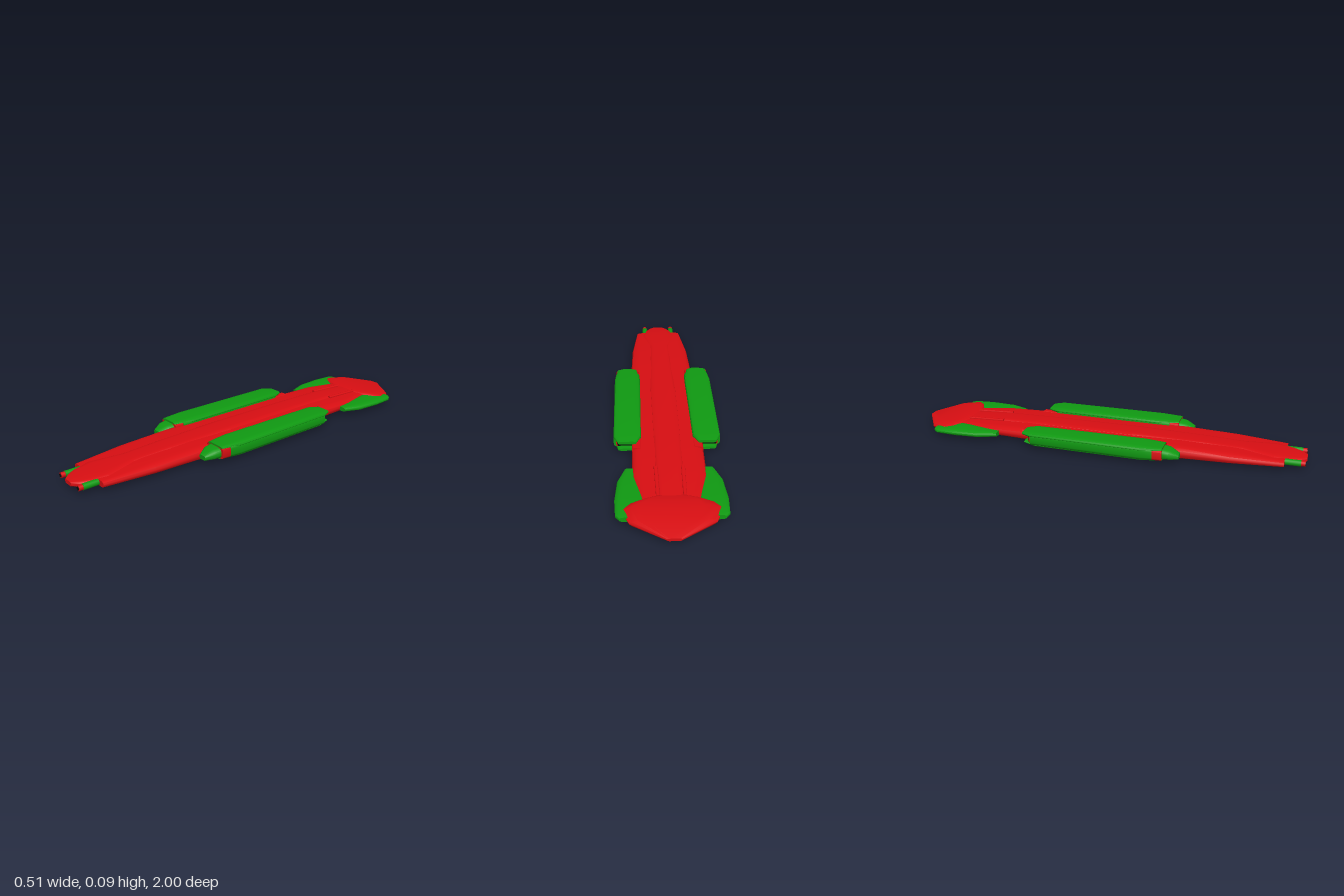
import * as THREE from 'three';
import { toCreasedNormals } from 'three/addons/utils/BufferGeometryUtils.js';

const red = new THREE.MeshStandardMaterial({ color: 0xd80e12 });
const green = new THREE.MeshStandardMaterial({ color: 0x109a12 });
const black = new THREE.MeshStandardMaterial({ color: 0x0a0a0a });

// Lofts rounded-rectangle sections [z, xMin, xMax, yMin, yMax, cornerX, cornerY], listed from back to front.
function loft(sections) {
  const steps = 3, n = 4 * (steps + 1), pos = [], idx = [];
  for (const [z, x0, x1, y0, y1, cx, cy] of sections) {
    const rx = Math.min(cx, (x1 - x0) * 0.49), ry = Math.min(cy, (y1 - y0) * 0.49);
    const corners = [[x1 - rx, y1 - ry], [x0 + rx, y1 - ry], [x0 + rx, y0 + ry], [x1 - rx, y0 + ry]];
    corners.forEach(([px, py], q) => {
      for (let k = 0; k <= steps; k++) {
        const a = (q + k / steps) * Math.PI / 2;
        pos.push(px + rx * Math.cos(a), py + ry * Math.sin(a), z);
      }
    });
  }
  const last = (sections.length - 1) * n;
  for (let i = 0; i < last; i += n) {
    for (let j = 0; j < n; j++) {
      const a = i + j, b = i + (j + 1) % n;
      idx.push(a, b, b + n, a, b + n, a + n);
    }
  }
  for (let j = 1; j < n - 1; j++) idx.push(0, j + 1, j, last, last + j, last + j + 1);
  const g = new THREE.BufferGeometry();
  g.setAttribute('position', new THREE.Float32BufferAttribute(pos, 3));
  g.setIndex(idx);
  return toCreasedNormals(g, 0.6);
}

// Symmetric section rows: [z, halfWidth, yMin, yMax, cornerX, cornerY]
const centred = rows => loft(rows.map(([z, w, ...rest]) => [z, -w, w, ...rest]));

function add(parent, name, geometry, material) {
  const mesh = new THREE.Mesh(geometry, material);
  mesh.name = name;
  parent.add(mesh);
  return mesh;
}

// Mirrors section rows for the right-hand (-x) side
const sided = (rows, s) => loft(rows.map(([z, a, b, ...rest]) => s > 0 ? [z, a, b, ...rest] : [z, -b, -a, ...rest]));

function buildPod(s) {
  const pod = new THREE.Group();
  pod.name = s > 0 ? 'leftPod' : 'rightPod';
  const part = (name, rows, mat) => add(pod, name, sided(rows, s), mat);
  // Red core, showing at the front
  part('podCore', [
    [-0.33, 0.135, 0.24, 0.035, 0.08, 0.01, 0.01],
    [0.27, 0.125, 0.249, 0.03, 0.085, 0.01, 0.01],
    [0.345, 0.128, 0.247, 0.031, 0.083, 0.01, 0.01],
  ], red);
  // Shell wrapped round the core
  part('podShell', [
    [-0.32, 0.123, 0.252, 0.028, 0.09, 0.02, 0.016],
    [0.24, 0.12, 0.255, 0.026, 0.09, 0.02, 0.016],
    [0.3, 0.122, 0.251, 0.028, 0.089, 0.02, 0.016],
  ], green);
  // Overhanging roof
  part('podRoof', [
    [-0.37, 0.145, 0.23, 0.072, 0.087, 0.02, 0.006],
    [-0.32, 0.123, 0.252, 0.066, 0.093, 0.03, 0.012],
    [0.24, 0.12, 0.255, 0.066, 0.093, 0.03, 0.012],
    [0.345, 0.138, 0.24, 0.076, 0.09, 0.02, 0.006],
  ], green);
  // Keel plate, leaving an open gap at the rear
  part('podKeel', [
    [-0.36, 0.145, 0.23, 0.03, 0.042, 0.02, 0.005],
    [-0.3, 0.13, 0.246, 0.02, 0.044, 0.03, 0.012],
    [0.24, 0.13, 0.246, 0.018, 0.044, 0.03, 0.012],
    [0.345, 0.14, 0.238, 0.024, 0.045, 0.03, 0.01],
  ], green);
  part('podExhaust', [
    [-0.335, 0.14, 0.235, 0.042, 0.072, 0.005, 0.005],
    [-0.325, 0.14, 0.235, 0.042, 0.072, 0.005, 0.005],
  ], black);
  part('podNose', [
    [0.33, 0.138, 0.238, 0.03, 0.083, 0.025, 0.02],
    [0.375, 0.142, 0.234, 0.031, 0.077, 0.025, 0.018],
    [0.42, 0.168, 0.21, 0.033, 0.055, 0.006, 0.006],
  ], green);
  return pod;
}

function buildGun(s) {
  const gun = new THREE.Group();
  gun.name = s > 0 ? 'leftGun' : 'rightGun';
  gun.position.set(s * 0.08, 0.036, 0);
  const tube = (name, r, z0, z1, mat) => {
    const g = new THREE.CylinderGeometry(r, r, z1 - z0, 16).rotateX(Math.PI / 2).translate(0, 0, (z0 + z1) / 2);
    add(gun, name, g, mat);
  };
  tube('gunBarrel', 0.015, 0.85, 0.975, green);
  tube('gunTip', 0.013, 0.97, 0.995, red);
  tube('gunBore', 0.009, 0.99, 0.997, black);
  return gun;
}

export function createModel() {
  const model = new THREE.Group();
  model.name = 'spaceship';

  add(model, 'hull', centred([
    [-0.84, 0.11, 0.026, 0.054, 0.03, 0.012],
    [-0.75, 0.135, 0.024, 0.057, 0.04, 0.015],
    [-0.6, 0.165, 0.016, 0.064, 0.045, 0.02],
    [-0.4, 0.167, 0.011, 0.07, 0.045, 0.025],
    [0.4, 0.166, 0.01, 0.071, 0.045, 0.025],
    [0.65, 0.158, 0.014, 0.065, 0.045, 0.022],
    [0.9, 0.128, 0.022, 0.051, 0.02, 0.01],
  ]), red);

  // Raised spine above and below, flaring into the nose
  add(model, 'spine', centred([
    [-0.76, 0.055, 0.022, 0.06, 0.02, 0.008],
    [-0.55, 0.062, 0.012, 0.073, 0.025, 0.01],
    [-0.3, 0.066, 0.004, 0.077, 0.03, 0.012],
    [0.15, 0.068, 0.003, 0.078, 0.03, 0.012],
    [0.5, 0.06, 0.007, 0.073, 0.025, 0.01],
    [0.7, 0.056, 0.012, 0.067, 0.025, 0.01],
    [0.85, 0.1, 0.016, 0.06, 0.04, 0.015],
    [0.93, 0.082, 0.019, 0.053, 0.03, 0.014],
    [0.975, 0.055, 0.022, 0.048, 0.02, 0.01],
    [1.0, 0.028, 0.024, 0.044, 0.008, 0.008],
  ]), red);

  // Wide tail, like an arrowhead pointing back
  add(model, 'tail', centred([
    [-1.0, 0.03, 0.03, 0.043, 0.008, 0.005],
    [-0.9, 0.18, 0.02, 0.058, 0.07, 0.017],
    [-0.82, 0.214, 0.017, 0.063, 0.08, 0.021],
    [-0.785, 0.185, 0.018, 0.063, 0.07, 0.021],
    [-0.76, 0.135, 0.02, 0.062, 0.05, 0.019],
    [-0.74, 0.07, 0.024, 0.06, 0.04, 0.016],
  ]), red);

  for (const s of [1, -1]) {
    model.add(buildPod(s), buildGun(s));
    add(model, s > 0 ? 'leftFin' : 'rightFin', sided([
      [-0.87, 0.12, 0.222, 0.026, 0.048, 0.02, 0.008],
      [-0.85, 0.11, 0.238, 0.023, 0.051, 0.03, 0.011],
      [-0.75, 0.11, 0.243, 0.021, 0.054, 0.035, 0.013],
      [-0.62, 0.13, 0.233, 0.022, 0.054, 0.03, 0.013],
      [-0.53, 0.15, 0.2, 0.028, 0.05, 0.015, 0.008],
    ], s), green);
    // Thin ribs on the rear deck
    add(model, 'deckRib', sided([
      [-0.75, 0.05, 0.066, 0.045, 0.066, 0.004, 0.004],
      [-0.55, 0.052, 0.07, 0.05, 0.075, 0.004, 0.004],
    ], s), red);
    // Bracket joining hull and pod
    add(model, 'podBracket', sided([
      [-0.4, 0.12, 0.166, 0.03, 0.071, 0.008, 0.008],
      [0.3, 0.12, 0.166, 0.03, 0.071, 0.008, 0.008],
    ], s), red);
  }
  return model;
}
